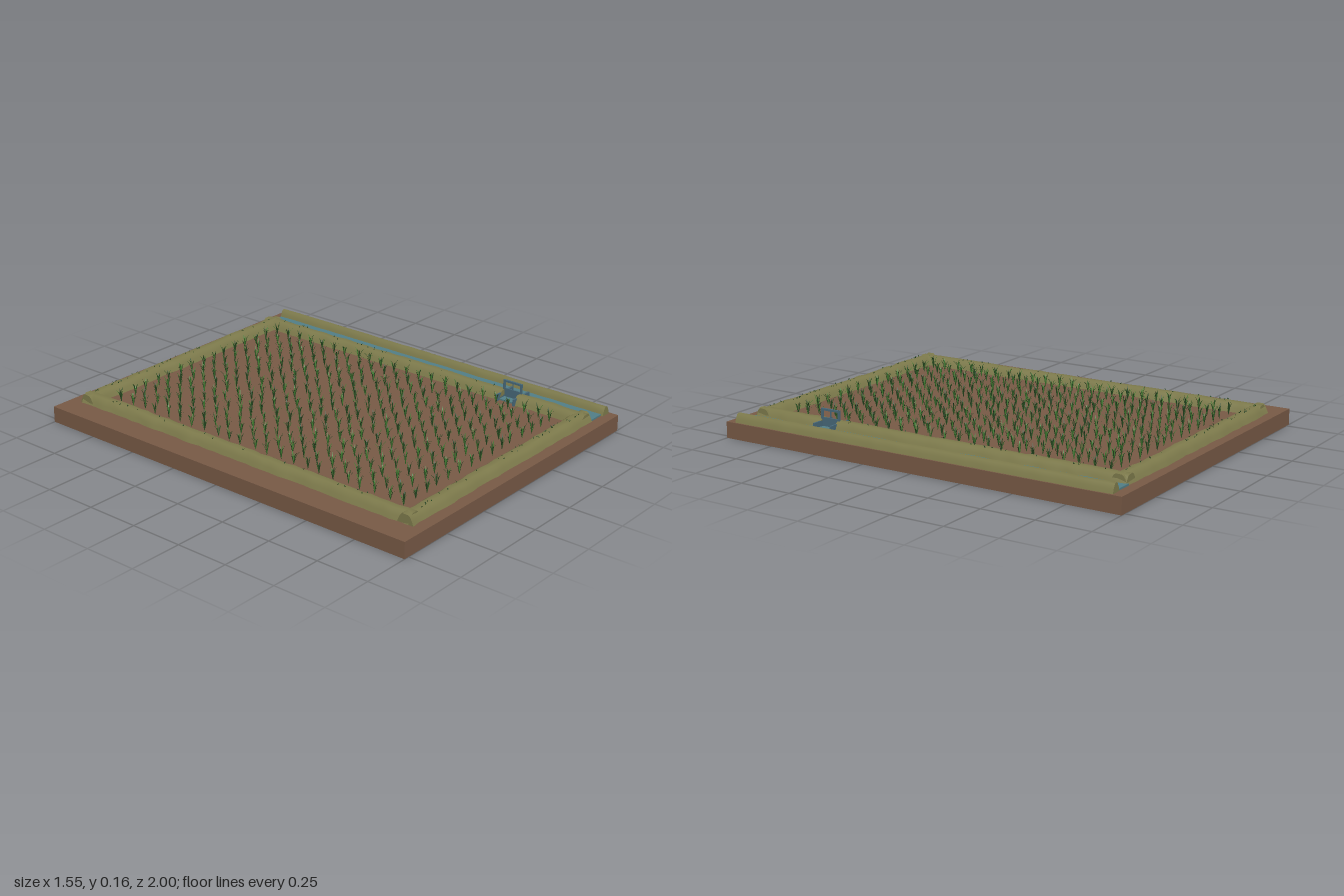
import * as THREE from 'three';

const GROUND = 0.075;

// small seeded random source
function seeded(seed) {
  let s = seed;
  return () => (s = (s * 16807) % 2147483647) / 2147483647;
}

// earth ridge along z: a cross-section repeated with slight unevenness, closed at both ends
function ridgeGeometry(profile, length, wobble, seed) {
  const rnd = seeded(seed), n = profile.length, rings = Math.round(length / 0.045);
  const pos = [], idx = [];
  for (let i = 0; i <= rings; i++) {
    const z = (i / rings - 0.5) * length;
    const shift = (rnd() - 0.5) * wobble, scale = 1 + (rnd() - 0.5) * wobble * 8;
    for (const [x, y] of profile) pos.push(x * scale + shift, y > 0 ? y + (rnd() - 0.5) * wobble * 0.4 : 0, z);
  }
  for (let i = 0; i < rings; i++) for (let j = 0; j < n - 1; j++) {
    const a = i * n + j, b = a + n;
    idx.push(a, b, a + 1, b, b + 1, a + 1);
  }
  for (const ring of [0, rings]) {
    const base = pos.length / 3;
    for (let k = 0; k < n * 3; k++) pos.push(pos[ring * n * 3 + k]);
    for (let j = 1; j < n - 1; j++) {
      if (ring) idx.push(base, base + j + 1, base + j);
      else idx.push(base, base + j, base + j + 1);
    }
  }
  const g = new THREE.BufferGeometry();
  g.setAttribute('position', new THREE.Float32BufferAttribute(pos, 3));
  g.setIndex(idx);
  g.computeVertexNormals();
  return g;
}

// one leaf: a tapering strip that leans outward and droops at the tip
function addBlade(pos, x, y, z, angle, reach, height, width) {
  const c = Math.cos(angle), s = Math.sin(angle);
  const point = (r, h, w) => [x + c * r - s * w, y + h, z + s * r + c * w];
  const a = point(0, 0, -width * 0.5), b = point(0, 0, width * 0.5);
  const d = point(reach * 0.45, height * 0.75, -width), e = point(reach * 0.45, height * 0.75, width);
  const tip = point(reach, height, 0);
  pos.push(...a, ...b, ...e, ...a, ...e, ...d, ...d, ...e, ...tip);
}

function bladeGeometry(pos) {
  const g = new THREE.BufferGeometry();
  g.setAttribute('position', new THREE.Float32BufferAttribute(pos, 3));
  g.computeVertexNormals();
  return g;
}

export function createModel() {
  const model = new THREE.Group();
  const material = (name, color, side = THREE.FrontSide) => {
    const m = new THREE.MeshStandardMaterial({ color, side });
    m.name = name;
    return m;
  };
  const soil = material('soil brown', 0x785a46);
  const bankEarth = material('grassy olive', 0x7e7b4c);
  const water = material('water blue', 0x527f87);
  const steel = material('gate blue grey', 0x48697a);
  const darkLeaf = material('dark leaf green', 0x24451f, THREE.DoubleSide);
  const lightLeaf = material('leaf green', 0x3f7a2f, THREE.DoubleSide);

  const add = (parent, name, geometry, mat, x = 0, y = 0, z = 0) => {
    const mesh = new THREE.Mesh(geometry, mat);
    mesh.name = name;
    mesh.position.set(x, y, z);
    parent.add(mesh);
    return mesh;
  };
  const box = (parent, name, mat, x0, x1, y0, y1, z0, z1) =>
    add(parent, name, new THREE.BoxGeometry(x1 - x0, y1 - y0, z1 - z0), mat,
      (x0 + x1) / 2, (y0 + y1) / 2, (z0 + z1) / 2);

  // ground slab
  box(model, 'groundSlab', soil, -0.775, 0.775, 0, GROUND, -1, 1);

  // levees around the field, the right-hand one broken by the gate
  const levee = [[-0.041, 0], [-0.033, 0.018], [-0.024, 0.034], [-0.014, 0.041],
    [0.014, 0.041], [0.024, 0.034], [0.033, 0.018], [0.041, 0]];
  const leveeAlongZ = (name, x, z0, z1, seed) =>
    add(model, name, ridgeGeometry(levee, z1 - z0, 0.008, seed), bankEarth, x, GROUND, (z0 + z1) / 2);
  const leveeAlongX = (name, z, seed) => {
    const mesh = add(model, name, ridgeGeometry(levee, 1.295, 0.008, seed), bankEarth, -0.008, GROUND, z);
    mesh.rotation.y = Math.PI / 2;
  };
  leveeAlongZ('leftLevee', -0.618, -0.935, 0.925, 11);
  leveeAlongZ('rightLeveeBack', 0.609, -0.945, 0.497, 23);
  leveeAlongZ('rightLeveeFront', 0.609, 0.582, 0.935, 37);
  leveeAlongX('frontLevee', 0.905, 41);
  leveeAlongX('backLevee', -0.912, 59);

  // irrigation channel with its outer bank
  box(model, 'channelWater', water, 0.635, 0.73, GROUND - 0.005, 0.083, -0.952, 0.945);
  box(model, 'inletWater', water, 0.575, 0.64, GROUND - 0.005, 0.082, 0.495, 0.583);
  const outer = [[-0.026, 0], [-0.02, 0.018], [-0.011, 0.036], [0, 0.042], [0.011, 0.036], [0.02, 0.018], [0.026, 0]];
  add(model, 'outerBank', ridgeGeometry(outer, 1.91, 0.004, 71), bankEarth, 0.742, GROUND, 0);

  // sluice gate: two cheek walls, posts, top beam and a sliding panel
  const gate = new THREE.Group();
  gate.name = 'sluiceGate';
  model.add(gate);
  for (const z of [0.493, 0.585]) {
    box(gate, 'gateWall', steel, 0.553, 0.678, GROUND, 0.107, z - 0.004, z + 0.004);
    box(gate, 'gatePost', steel, 0.611, 0.621, GROUND, 0.16, z - 0.004, z + 0.004);
  }
  box(gate, 'gateBeam', steel, 0.611, 0.621, 0.153, 0.162, 0.489, 0.589);
  box(gate, 'gatePanel', steel, 0.613, 0.619, GROUND, 0.122, 0.497, 0.581);
  box(gate, 'gateRod', steel, 0.614, 0.618, 0.12, 0.155, 0.537, 0.541);

  // rice seedlings in rows
  const rnd = seeded(977);
  const dark = [], light = [];
  for (let row = 0; row < 23; row++) for (let col = 0; col < 15; col++) {
    const x = -0.53 + col * 0.0751 + (rnd() - 0.5) * 0.014;
    const z = -0.81 + row * 0.0735 + (rnd() - 0.5) * 0.014;
    const turn = rnd() * Math.PI * 2;
    for (let k = 0; k < 7; k++) {
      addBlade(k % 3 === 0 ? light : dark, x, GROUND, z, turn + k * 0.9 + (rnd() - 0.5) * 0.5,
        0.01 + rnd() * 0.017, 0.046 + rnd() * 0.022, 0.0024);
    }
  }
  add(model, 'riceDarkLeaves', bladeGeometry(dark), darkLeaf);
  add(model, 'riceLightLeaves', bladeGeometry(light), lightLeaf);

  // small weeds scattered on the levee tops
  const weeds = [];
  const tuft = (x, z) => {
    for (let k = 0; k < 3; k++) addBlade(weeds, x, GROUND + 0.036, z, rnd() * 6.28, 0.006, 0.012, 0.0015);
  };
  for (let k = 0; k < 34; k++) {
    for (const z of [0.905, -0.912]) tuft((rnd() - 0.5) * 1.2, z + (rnd() - 0.5) * 0.03);
  }
  for (let k = 0; k < 18; k++) {
    tuft(-0.618 + (rnd() - 0.5) * 0.03, (rnd() - 0.5) * 1.7);
    tuft(0.609 + (rnd() - 0.5) * 0.03, -0.85 + rnd() * 1.3);
  }
  add(model, 'leveeWeeds', bladeGeometry(weeds), darkLeaf);

  return model;
}
